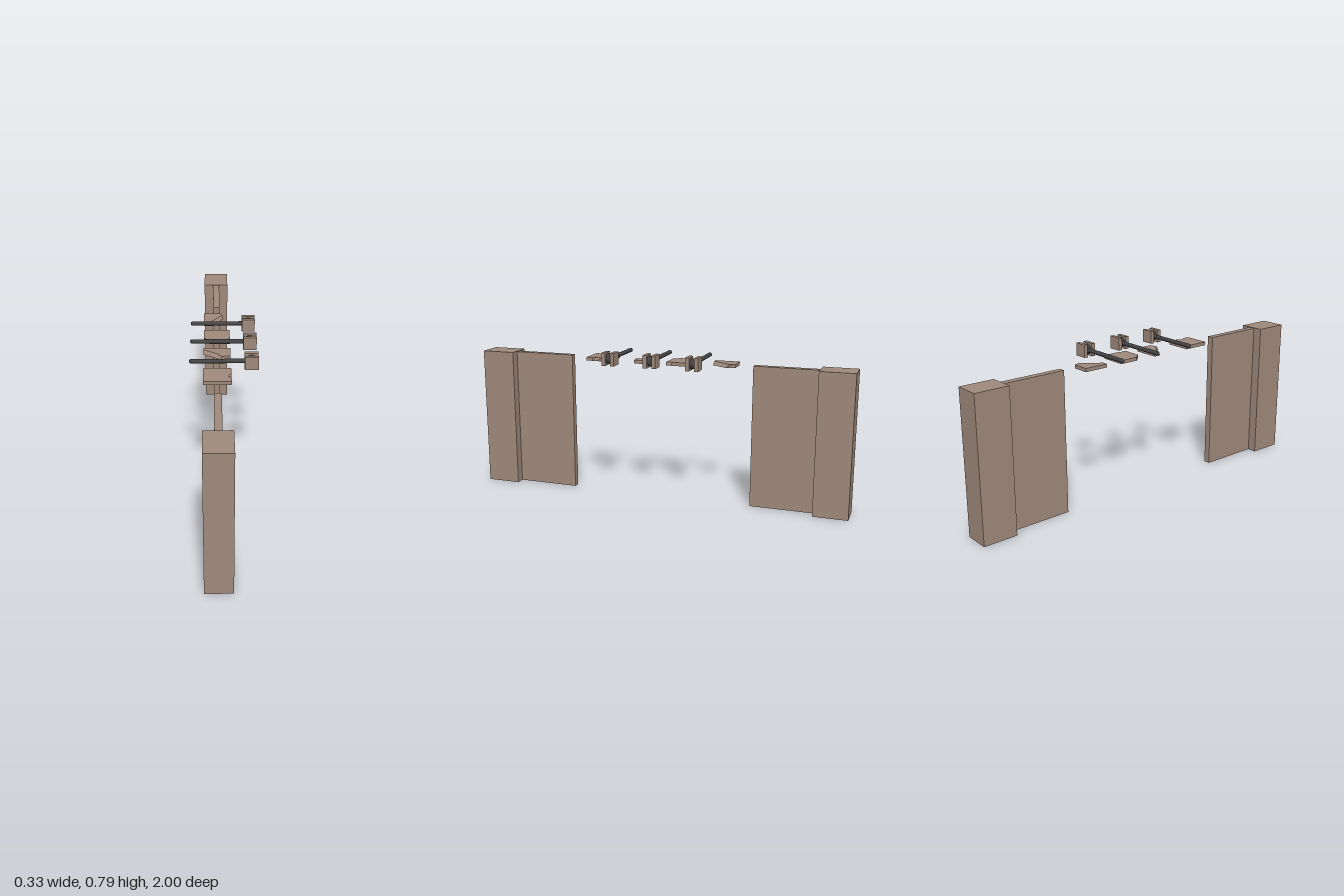
import * as THREE from 'three';

const stone = new THREE.MeshStandardMaterial({ color: 0xa08a7c, flatShading: true });
const iron = new THREE.MeshStandardMaterial({ color: 0x444444 });

// Box given by its min and max corners
function box(name, [x0, y0, z0], [x1, y1, z1]) {
  const mesh = new THREE.Mesh(new THREE.BoxGeometry(x1 - x0, y1 - y0, z1 - z0), stone);
  mesh.name = name;
  mesh.position.set((x0 + x1) / 2, (y0 + y1) / 2, (z0 + z1) / 2);
  return mesh;
}

// Broken slab lofted between a lower and an upper outline.
// Each point is [x, z] or [topX, topZ, bottomX, bottomZ], anticlockwise from above.
function slab(name, points, y0, y1) {
  const top = points.map(p => [p[0], y1, p[1]]);
  const bottom = points.map(p => [p[2] ?? p[0], y0, p[3] ?? p[1]]);
  const n = points.length;
  const pos = [];
  const fill = (ring, flip) => {
    const contour = ring.map(p => new THREE.Vector2(p[0], -p[2]));
    for (const [a, b, c] of THREE.ShapeUtils.triangulateShape(contour, [])) {
      pos.push(...ring[a], ...ring[flip ? c : b], ...ring[flip ? b : c]);
    }
  };
  fill(top, false);
  fill(bottom, true);
  for (let i = 0; i < n; i++) {
    const j = (i + 1) % n;
    pos.push(...bottom[i], ...bottom[j], ...top[j], ...bottom[i], ...top[j], ...top[i]);
  }
  const geometry = new THREE.BufferGeometry();
  geometry.setAttribute('position', new THREE.Float32BufferAttribute(pos, 3));
  geometry.computeVertexNormals();
  const mesh = new THREE.Mesh(geometry, stone);
  mesh.name = name;
  return mesh;
}

// Lever: round-ended rod, hub and a pair of square cheek plates
function lever(z) {
  const group = new THREE.Group();
  group.name = 'lever';
  const y = 0.753, r = 0.0108, x0 = -0.167, x1 = 0.145;
  const rod = new THREE.Mesh(new THREE.CapsuleGeometry(r, x1 - x0 - 2 * r, 6, 16), iron);
  rod.name = 'rod';
  rod.rotation.z = Math.PI / 2;
  rod.position.set((x0 + x1) / 2, y, 0);
  const hub = new THREE.Mesh(new THREE.CylinderGeometry(0.026, 0.026, 0.04, 24), iron);
  hub.name = 'hub';
  hub.rotation.x = Math.PI / 2;
  hub.position.set(0.133, y, 0);
  group.add(rod, hub);
  for (const s of [-1, 1]) {
    const plate = box('cheekPlate', [0.1, 0.72, -0.01], [0.167, 0.786, 0.01]);
    plate.position.z = s * 0.023;
    group.add(plate);
  }
  group.position.z = z;
  return group;
}

export function createModel() {
  const model = new THREE.Group();

  // End posts with thin wall panels, mirrored front to back
  for (const s of [-1, 1]) {
    const end = new THREE.Group();
    end.name = s > 0 ? 'frontWall' : 'backWall';
    const post = box('post', [-0.098, 0, -0.089], [0.035, 0.735, 0.089]);
    post.position.z = s * 0.911;
    const panel = box('panel', [-0.048, 0, -0.165], [-0.013, 0.732, 0.165]);
    panel.position.z = s * 0.657;
    end.add(post, panel);
    model.add(end);
  }

  // Row of levers
  for (const z of [-0.228, -0.008, 0.213]) model.add(lever(z));

  // Broken top slabs, from back to front
  const L = -0.098, R = 0.035;
  const outlines = [
    [[L, -0.402], [L, -0.276], [-0.07, -0.276, -0.05, -0.276],
      [-0.035, -0.33, -0.025, -0.315], [0, -0.375, 0, -0.357], [-0.012, -0.402]],
    [[L, -0.186], [L, -0.088], [-0.066, -0.053], [R, -0.053],
      [0.028, -0.075, R, -0.07], [R, -0.09], [R, -0.186]],
    [[L, 0.03], [L, 0.052, L, 0.066], [-0.062, 0.076, -0.055, 0.1],
      [-0.028, 0.1, -0.03, 0.115], [-0.006, 0.127, -0.012, 0.129], [R, 0.12], [R, 0.03]],
    [[L, 0.252], [L, 0.387], [R, 0.387], [R, 0.352],
      [0.02, 0.335, R, 0.335], [R, 0.3], [R, 0.252]],
  ];
  for (const outline of outlines) model.add(slab('brokenSlab', outline, 0.717, 0.735));

  return model;
}
